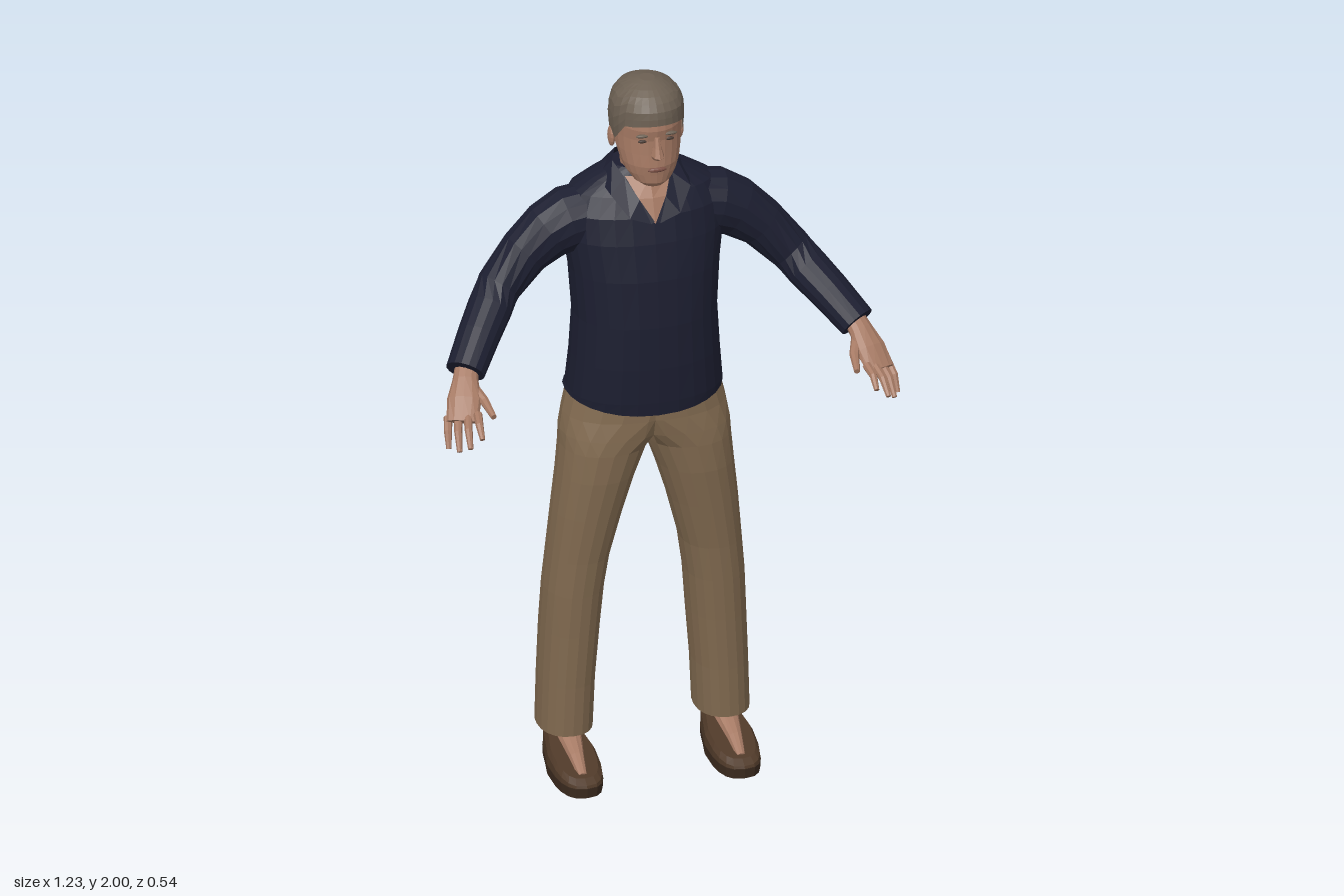
import * as THREE from 'three';

const paint = (name, color, side = THREE.FrontSide) => {
  const m = new THREE.MeshStandardMaterial({ color, side });
  m.name = name;
  return m;
};
const V = (x, y, z) => new THREE.Vector3(x, y, z);
const bend = (v, p) => Math.sign(v) * Math.abs(v) ** p;

// Skins a stack of point rings; closed rings can be capped at both ends.
function skinRings(rings, closed = true, caps = true) {
  const n = rings[0].length, pos = [], idx = [];
  rings.forEach(r => r.forEach(p => pos.push(p.x, p.y, p.z)));
  for (let i = 0; i < rings.length - 1; i++) {
    for (let j = 0; j < (closed ? n : n - 1); j++) {
      const k = (j + 1) % n, a = i * n + j, b = i * n + k, c = a + n, d = b + n;
      idx.push(a, c, b, b, c, d);
    }
  }
  if (closed && caps) {
    [0, rings.length - 1].forEach((i, end) => {
      const mid = rings[i].reduce((s, p) => s.add(p), V(0, 0, 0)).divideScalar(n);
      const m = pos.push(mid.x, mid.y, mid.z) / 3 - 1;
      for (let j = 0; j < n; j++) {
        const a = i * n + j, b = i * n + (j + 1) % n;
        idx.push(m, end ? b : a, end ? a : b);
      }
    });
  }
  const g = new THREE.BufferGeometry();
  g.setAttribute('position', new THREE.Float32BufferAttribute(pos, 3));
  g.setIndex(idx);
  return g;
}

// Level ring: height, centre x, half width, front z, back z.
function levelRing([y, cx, rx, front, back], n = 24, power = 1) {
  return Array.from({ length: n }, (_, j) => {
    const t = j / n * Math.PI * 2;
    return V(cx + rx * bend(Math.cos(t), power), y,
      (front + back) / 2 + (front - back) / 2 * bend(Math.sin(t), power));
  });
}
const stack = (rows, n, power) => skinRings(rows.map(r => levelRing(r, n, power)));

// Limb along a path: rows of x, y, z, sideways radius, upright radius.
function limb(rows, n = 16) {
  const pts = rows.map(r => V(r[0], r[1], r[2]));
  return skinRings(rows.map((r, i) => {
    const t = pts[Math.min(i + 1, pts.length - 1)].clone().sub(pts[Math.max(i - 1, 0)]).normalize();
    const h = t.clone().cross(V(0, 1, 0)).normalize(), v = h.clone().cross(t);
    return Array.from({ length: n }, (_, j) => {
      const a = j / n * Math.PI * 2;
      return pts[i].clone().addScaledVector(h, r[3] * Math.cos(a)).addScaledVector(v, r[4] * Math.sin(a));
    });
  }));
}

// Linear lookup in rows sorted by their first number.
function lookup(rows, x) {
  let i = 0;
  while (i < rows.length - 2 && x > rows[i + 1][0]) i++;
  const t = THREE.MathUtils.clamp((x - rows[i][0]) / (rows[i + 1][0] - rows[i][0]), 0, 1);
  return rows[i].map((v, k) => v + (rows[i + 1][k] - v) * t);
}

const blob = (x, y, z, sx, sy, sz) =>
  new THREE.SphereGeometry(1, 12, 8).scale(sx, sy, sz).translate(x, y, z);

export function createModel() {
  const model = new THREE.Group();
  model.name = 'standingMan';
  const skin = paint('skin', 0xa67a64, THREE.DoubleSide);
  const hair = paint('hair', 0x6c6053, THREE.DoubleSide);
  const shirt = paint('navyShirt', 0x1c1e30, THREE.DoubleSide);
  const cloth = paint('tanTrousers', 0x80694f);
  const leather = paint('brownLeather', 0x503a29);
  const soleMat = paint('darkSole', 0x3c2b1f);
  const lipMat = paint('lips', 0x7d5146);
  const eyeMat = paint('eyes', 0x4a3c35);

  const add = (name, geo, mat) => {
    const g = geo.toNonIndexed();
    g.computeVertexNormals();
    const mesh = new THREE.Mesh(g, mat);
    mesh.name = name;
    model.add(mesh);
  };
  const pair = (name, geo, mat) => {
    add('left' + name, geo, mat);
    const m = geo.clone().scale(-1, 1, 1);
    m.setIndex([...geo.index.array].reverse());
    add('right' + name, m, mat);
  };

  // Shirt body, with the hem raised at the sides
  const torso = [
    [1.062, 0, .21, .06, -.266], [1.1, 0, .207, .063, -.25], [1.2, 0, .198, .066, -.24],
    [1.32, 0, .191, .063, -.235], [1.45, 0, .2, .05, -.236], [1.55, 0, .215, .03, -.242],
    [1.62, 0, .215, .01, -.238], [1.67, 0, .19, -.02, -.218], [1.70, 0, .14, -.04, -.2],
    [1.735, 0, .078, -.055, -.175],
  ].map(r => levelRing(r, 28, .88));
  torso[0].forEach(p => { p.y += .025 * (p.x / .21) ** 2; });
  add('shirtBody', skinRings(torso), shirt);

  // Sleeves
  pair('Sleeve', limb([
    [.11, 1.6, -.11, .085, .085], [.2, 1.583, -.11, .085, .09], [.255, 1.558, -.108, .077, .08],
    [.32, 1.508, -.1, .068, .067], [.395, 1.427, -.08, .062, .058], [.43, 1.387, -.04, .06, .056],
    [.475, 1.34, .015, .057, .052], [.53, 1.277, .085, .053, .046],
  ]), shirt);

  // Open collar and the skin showing in its V
  const inner = [[0, 1.75, -.175], [.06, 1.752, -.155], [.083, 1.745, -.1], [.064, 1.718, -.045], [.036, 1.672, .002], [.003, 1.618, .03]];
  const outer = [[0, 1.69, -.222], [.085, 1.695, -.2], [.122, 1.7, -.11], [.108, 1.685, -.02], [.068, 1.632, .026], [.012, 1.612, .032]];
  pair('Collar', skinRings([outer, inner].map(e => e.map(p => V(...p))), false), shirt);
  add('openNeck', skinRings([
    [V(.001, 1.61, .027), V(0, 1.61, .027), V(-.001, 1.61, .027)],
    [V(.037, 1.672, -.004), V(0, 1.672, .002), V(-.037, 1.672, -.004)],
    [V(.062, 1.72, -.05), V(0, 1.72, -.03), V(-.062, 1.72, -.05)],
  ], false), skin);

  // Trousers: each leg widens into half of the hips, cut at the middle
  const legs = [
    [.11, .212, .073, -.01, -.205], [.25, .207, .074, -.008, -.208], [.4, .198, .077, -.003, -.21],
    [.52, .19, .079, .003, -.203], [.62, .178, .082, .008, -.197], [.75, .155, .093, .02, -.195],
    [.86, .132, .104, .03, -.2], [.94, .112, .117, .032, -.206], [.98, .08, .148, .032, -.212],
    [1.03, .02, .2, .032, -.222], [1.1, 0, .203, .03, -.23],
  ].map(r => levelRing(r, 20, .9));
  legs.flat().forEach(p => { p.x = Math.max(p.x, 0); });
  pair('TrouserLeg', skinRings(legs), cloth);

  // Shoes: flat sole and an upper that slopes down to the toe
  const shoeRing = (y, size, slope = 0) => levelRing([y, .213, .066 * size, .135, -.19], 20, .72).map(p => {
    p.z = -.0275 + (p.z + .0275) * size;
    p.x = .213 + (p.x - .213) * (p.z < -.06 ? .85 : 1);
    p.y += slope * (.135 - p.z) / .325;
    return p;
  });
  pair('Sole', skinRings([shoeRing(0, .98), shoeRing(.028, 1)]), soleMat);
  pair('ShoeUpper', skinRings([shoeRing(.028, .985), shoeRing(.034, .97, .045), shoeRing(.042, .84, .06)]), leather);
  pair('Instep', limb([[.214, .045, .09, .012, .01], [.214, .07, .03, .02, .018], [.212, .1, -.06, .034, .024], [.212, .13, -.12, .04, .03]], 10), skin);

  // Hands: palm, four fingers and a thumb
  pair('Palm', limb([[.52, 1.292, .065, .03, .024], [.535, 1.262, .105, .034, .024], [.549, 1.228, .145, .045, .022], [.566, 1.185, .188, .042, .013]], 12), skin);
  const tips = [[.533, 1.168, .268], [.565, 1.145, .268], [.588, 1.127, .243], [.607, 1.12, .205]];
  tips.forEach((tip, i) => {
    const s = (i - 1.5) / 1.5;
    const base = V(.56 + .034 * s, 1.195 - .01 * s, .173 - .022 * s), end = V(...tip);
    const mid = base.clone().lerp(end, .5).add(V(.003, .008, .004));
    pair('Finger' + (i + 1), limb([[...base, .012, .012], [...mid, .0105, .0105], [...end, .007, .007]], 8), skin);
  });
  pair('Thumb', limb([[.523, 1.25, .115, .017, .015], [.5, 1.226, .165, .013, .012], [.491, 1.208, .226, .008, .008]], 8), skin);

  // Neck and head
  add('neck', stack([[1.6, 0, .062, -.04, -.165], [1.7, 0, .059, -.042, -.165], [1.82, 0, .062, -.03, -.165]], 16), skin);
  add('head', stack([
    [1.722, 0, .03, .03, -.03], [1.735, 0, .05, .04, -.06], [1.76, 0, .068, .043, -.09],
    [1.785, 0, .078, .047, -.12], [1.82, 0, .086, .044, -.15], [1.86, 0, .089, .042, -.165],
    [1.89, 0, .089, .047, -.17], [1.93, 0, .085, .04, -.168], [1.97, 0, .06, 0, -.13],
  ]), skin);
  add('nose', stack([[1.81, 0, .013, .058, .02], [1.822, 0, .017, .076, .02], [1.845, 0, .011, .064, .02], [1.872, 0, .008, .05, .02]], 8), skin);
  pair('Ear', blob(.092, 1.833, -.073, .01, .03, .019), skin);
  pair('Eye', blob(.035, 1.86, .033, .014, .005, .005), eyeMat);
  pair('Eyebrow', blob(.036, 1.877, .036, .02, .005, .007), hair);
  add('mouth', blob(0, 1.778, .045, .026, .007, .007), lipMat);

  // Short hair: cap whose lower edge follows the hairline around the head
  const cap = [
    [1.77, .072, .01, -.163], [1.8, .085, .025, -.171], [1.85, .095, .045, -.183], [1.9, .099, .052, -.186],
    [1.94, .095, .05, -.179], [1.97, .08, .03, -.157], [1.99, .05, -.005, -.117], [2.0, .02, -.035, -.08],
  ];
  const hairline = [[-1, 1.78], [-.4, 1.795], [-.15, 1.85], [.05, 1.86], [.15, 1.835], [.35, 1.845], [.55, 1.895], [1, 1.908]];
  const hairRings = [0, .2, .4, .6, .75, .87, .95, 1].map(v => Array.from({ length: 28 }, (_, j) => {
    const t = j / 28 * Math.PI * 2, low = lookup(hairline, Math.sin(t))[1];
    const [y, w, f, b] = lookup(cap, low + (2 - low) * v);
    return V(w * Math.cos(t), y, (f + b) / 2 + (f - b) / 2 * Math.sin(t));
  }));
  const hairGeo = skinRings(hairRings, true, false);
  add('hair', hairGeo, hair);
  add('crown', stack([[1.985, 0, .04, -.02, -.1], [2.0, 0, .02, -.035, -.08]], 28), hair);

  return model;
}
